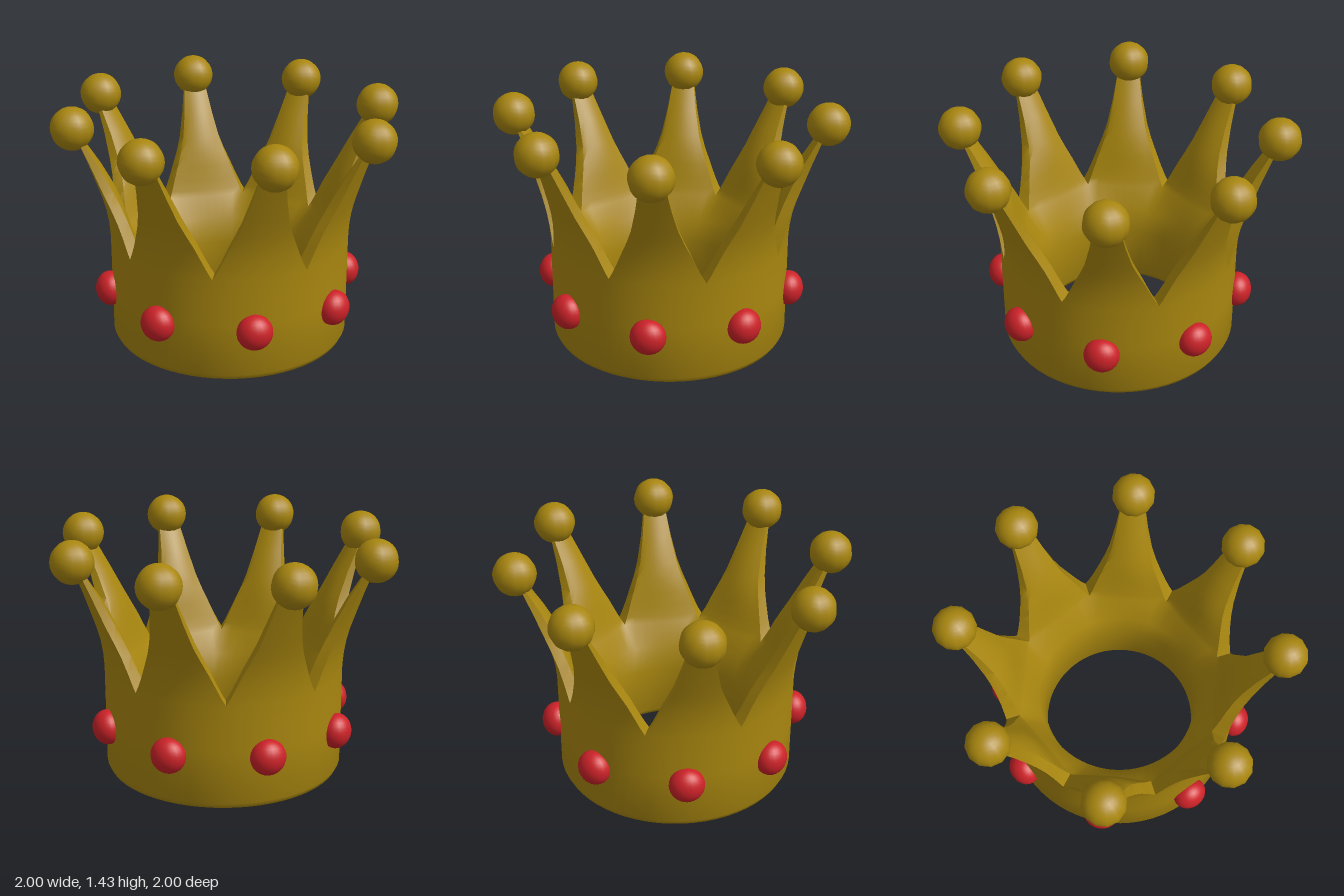
import * as THREE from 'three';
import { mergeGeometries, toCreasedNormals } from 'three/addons/utils/BufferGeometryUtils.js';

const POINTS = 8;
const STEP = (Math.PI * 2) / POINTS;
const VALLEY_ROW = 5;

// Wall rows, bottom to tip: height, outer radius, inner radius, half angle of one point
const ROWS = [
  [0.0, 0.63, 0.5, STEP / 2],
  [0.02, 0.67, 0.465, STEP / 2],
  [0.05, 0.685, 0.45, STEP / 2],
  [0.35, 0.685, 0.45, STEP / 2],
  [0.5, 0.685, 0.475, STEP / 2],
  [0.62, 0.685, 0.545, STEP / 2],
  [0.66, 0.687, 0.56, 0.358],
  [0.72, 0.692, 0.58, 0.315],
  [0.8, 0.705, 0.6, 0.262],
  [0.88, 0.726, 0.625, 0.208],
  [0.96, 0.753, 0.657, 0.164],
  [1.1, 0.802, 0.73, 0.115],
  [1.22, 0.848, 0.805, 0.085],
  [1.3, 0.88, 0.85, 0.065],
];

// One eighth of the wall: a loop of outer then inner points on each row
function wallSegment() {
  const cols = 8, n = cols + 1, ring = n * 2;
  const pos = [], index = [];
  ROWS.forEach(([y, rOut, rIn, half], row) => {
    const thin = row >= VALLEY_ROW ? 0.4 : 0;
    for (let k = 0; k < ring; k++) {
      const outer = k < n;
      const c = ((outer ? k : ring - 1 - k) / cols) * 2 - 1;
      const r = outer ? rOut : rIn + (rOut - rIn) * thin * c * c;
      pos.push(r * Math.sin(c * half), y, r * Math.cos(c * half));
    }
  });
  for (let j = 0; j < ROWS.length - 1; j++) {
    for (let k = 0; k < ring; k++) {
      const edge = k === n - 1 || k === ring - 1;
      if (edge && j < VALLEY_ROW) continue; // neighbours join here
      const a = j * ring + k, b = j * ring + ((k + 1) % ring);
      index.push(a, b, b + ring, a, b + ring, a + ring);
    }
  }
  // Underside
  for (let k = 0; k < cols; k++) {
    const i = ring - 1 - k;
    index.push(k, i, i - 1, k, i - 1, k + 1);
  }
  const g = new THREE.BufferGeometry();
  g.setAttribute('position', new THREE.Float32BufferAttribute(pos, 3));
  g.setIndex(index);
  return g;
}

export function createModel() {
  const gold = new THREE.MeshStandardMaterial({ color: 0xa8860f });
  gold.name = 'gold';
  const red = new THREE.MeshStandardMaterial({ color: 0xcc2228 });
  red.name = 'red';

  const crown = new THREE.Group();
  crown.name = 'crown';

  // Band and points in one smooth wall
  const segment = wallSegment();
  const parts = [];
  for (let i = 0; i < POINTS; i++) parts.push(segment.clone().rotateY(i * STEP));
  const wall = new THREE.Mesh(toCreasedNormals(mergeGeometries(parts), 0.9), gold);
  wall.name = 'bandAndPoints';
  crown.add(wall);

  // Balls on the tips and jewels around the band
  const ballGeo = new THREE.SphereGeometry(0.12, 12, 16);
  const jewelGeo = new THREE.SphereGeometry(0.1, 20, 16).scale(1, 1, 0.85);
  for (let i = 0; i < POINTS; i++) {
    const t = i * STEP;
    const ball = new THREE.Mesh(ballGeo, gold);
    ball.name = 'tipBall';
    ball.position.set(0.88 * Math.sin(t), 1.31, 0.88 * Math.cos(t));
    crown.add(ball);

    const s = t - 0.064;
    const jewel = new THREE.Mesh(jewelGeo, red);
    jewel.name = 'jewel';
    jewel.position.set(0.7 * Math.sin(s), 0.315, 0.7 * Math.cos(s));
    jewel.rotation.y = s;
    crown.add(jewel);
  }
  return crown;
}
